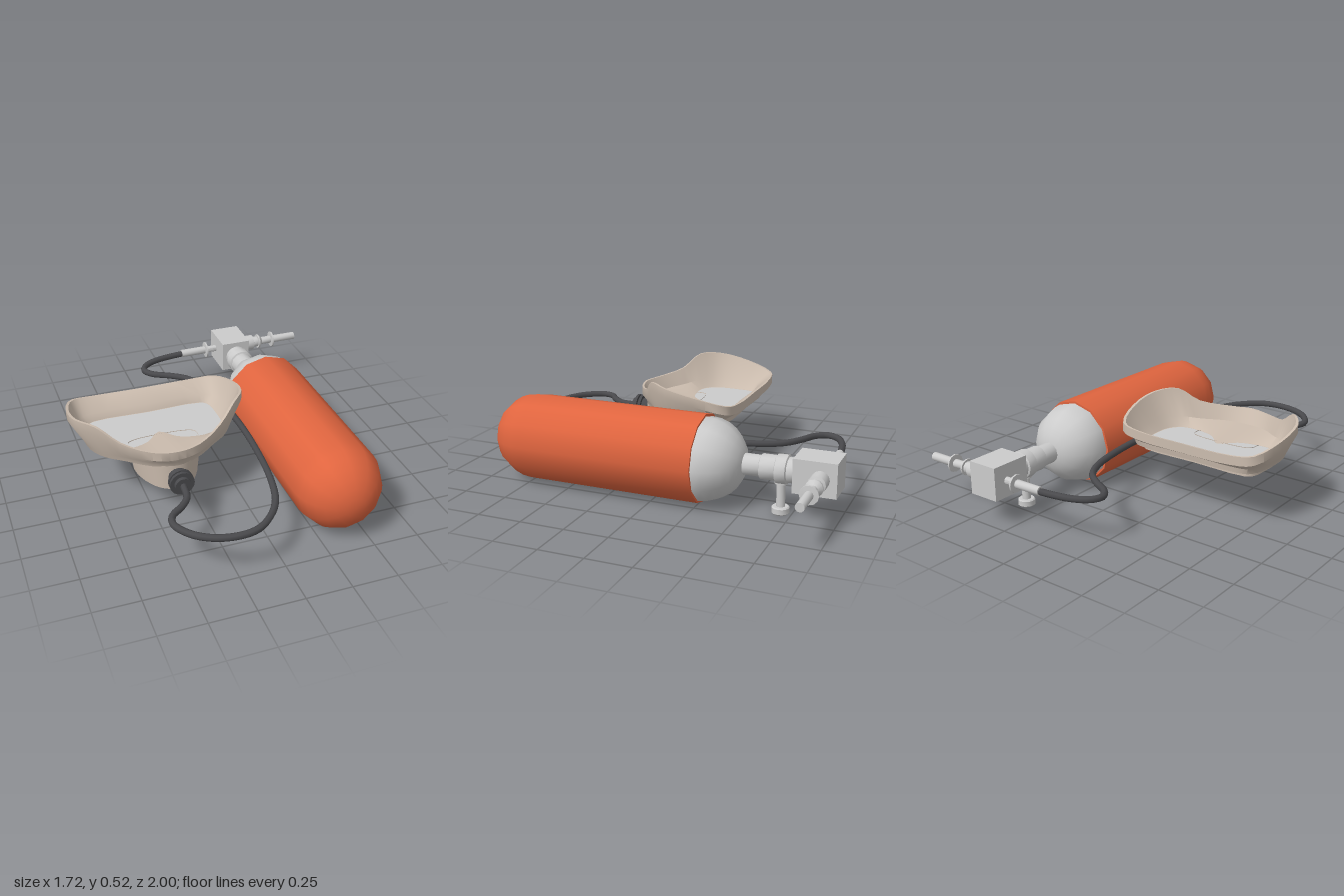
import * as THREE from 'three';
import { toCreasedNormals } from 'three/addons/utils/BufferGeometryUtils.js';

const material = (color) => new THREE.MeshStandardMaterial({ color, side: THREE.DoubleSide });
const metal = material(0xcccccc);
const red = material(0xe0653f);
const rubber = material(0x4a4a4d);
const skin = material(0xcbbcae);

const MASK_X = -0.375, AXIS_Y = 0.245, TANK_X = 0.388;

// Turned part: profile of [radius, position] in rising position along the given axis
function turned(name, mat, profile, axis, at, sides = 12) {
  let geo = new THREE.LatheGeometry(profile.map(([r, p]) => new THREE.Vector2(r, p)), sides);
  if (axis === 'z') geo.rotateX(Math.PI / 2);
  if (axis === 'x') geo.rotateZ(-Math.PI / 2);
  geo = toCreasedNormals(geo, 0.6);
  const mesh = new THREE.Mesh(geo, mat);
  mesh.name = name;
  mesh.position.set(...at);
  return mesh;
}

// Quarter-circle profile points from angle a to b
function arc(r, centre, a, b, steps = 7) {
  return Array.from({ length: steps + 1 }, (_, i) => {
    const t = a + (b - a) * i / steps;
    return [Math.max(r * Math.cos(t), 0), centre + r * Math.sin(t)];
  });
}

// Mirrors half an outline of [x, y, z] and samples a smooth closed ring through it
function ring(half) {
  const other = half.slice(1, -1).reverse().map(([x, y, z]) => [-x, y, z]);
  const points = [...half, ...other].map((p) => new THREE.Vector3(...p));
  const curve = new THREE.CatmullRomCurve3(points, true);
  const n = points.length * 3;
  return Array.from({ length: n }, (_, i) => curve.getPoint(i / n));
}

// Skin stretched over matching rings
function loft(name, mat, halves, crease) {
  const rings = halves.map(ring), n = rings[0].length;
  const index = [];
  for (let j = 0; j < rings.length - 1; j++) {
    for (let i = 0; i < n; i++) {
      const a = j * n + i, b = j * n + (i + 1) % n;
      index.push(a, b, a + n, b, b + n, a + n);
    }
  }
  const geo = new THREE.BufferGeometry().setFromPoints(rings.flat());
  geo.setIndex(index);
  geo.computeVertexNormals();
  const mesh = new THREE.Mesh(toCreasedNormals(geo, crease), mat);
  mesh.name = name;
  return mesh;
}

// Flat plate filling a ring outline, from height y0 to y1
function plate(name, mat, half, y0, y1) {
  const shape = new THREE.Shape(ring(half).map((p) => new THREE.Vector2(p.x, -p.z)));
  const geo = new THREE.ExtrudeGeometry(shape, { depth: y1 - y0, bevelEnabled: false });
  geo.rotateX(-Math.PI / 2).translate(0, y0, 0);
  const mesh = new THREE.Mesh(geo, mat);
  mesh.name = name;
  return mesh;
}

const level = (outline, y) => outline.map(([x, z]) => [x, y, z]);

function createMask() {
  const mask = new THREE.Group();
  mask.name = 'mask';
  mask.position.x = MASK_X;

  const lens = [[0, -0.18], [0.32, -0.18], [0.355, -0.15], [0.368, -0.05], [0.36, 0.08],
    [0.3, 0.15], [0.18, 0.155], [0.085, 0.125], [0, 0.045]];
  const inner = [[0, 0.35, -0.2], [0.32, 0.35, -0.2], [0.39, 0.35, -0.17], [0.415, 0.36, -0.05],
    [0.4, 0.37, 0.09], [0.33, 0.36, 0.18], [0.24, 0.345, 0.25], [0.13, 0.335, 0.33], [0, 0.33, 0.36]];
  const rim = [[0, 0.41, -0.29], [0.3, 0.415, -0.288], [0.42, 0.43, -0.26], [0.482, 0.475, -0.09],
    [0.472, 0.51, 0.09], [0.385, 0.515, 0.21], [0.28, 0.44, 0.285], [0.13, 0.41, 0.385], [0, 0.41, 0.42]];
  const lip = rim.map(([x, y, z]) => [x, y - 0.05, z]);
  const wall = [[0, -0.24], [0.31, -0.24], [0.385, -0.21], [0.42, -0.07], [0.41, 0.09],
    [0.35, 0.19], [0.255, 0.265], [0.13, 0.36], [0, 0.4]];
  const flange = wall.map(([x, z]) => [x * 0.97, z * 0.98]);
  const inside = rim.map(([x, y, z]) => [x * 0.97, y, z * 0.97]);

  // Face skirt: inside up to the rim, over it and down to the lens housing
  mask.add(loft('faceSkirt', skin, [
    level(lens, 0.31), inner, inside, rim, lip,
    level(wall, 0.335), level(flange, 0.305), level(lens, 0.3), level(lens, 0.27),
  ], 0.7));
  mask.add(plate('lens', metal, lens.map(([x, z]) => [x * 0.998, 0, z * 0.998]), 0.27, 0.308));

  // Breathing cup below the chin
  const cupTop = [[0, 0.07], [0.15, 0.08], [0.19, 0.1], [0.197, 0.15], [0.165, 0.27], [0.09, 0.37], [0, 0.4]];
  const cupBase = cupTop.map(([x, z]) => [x * 0.89, 0.02 + z * 0.95]);
  mask.add(loft('breathingCup', skin, [level(cupTop, 0.312), level(cupBase, 0.165)], 0.6));
  mask.add(plate('cupBase', skin, level(cupBase, 0), 0.165, 0.17));

  // Ribbed hose connector
  mask.add(turned('hoseConnector', rubber, [[0, 0.37], [0.05, 0.37], [0.05, 0.435], [0.068, 0.435],
    [0.068, 0.452], [0.05, 0.452], [0.05, 0.462], [0.068, 0.462], [0.068, 0.478], [0.045, 0.478],
    [0.045, 0.5], [0, 0.5]], 'z', [0, AXIS_Y, 0], 16));
  return mask;
}

function createTank() {
  const tank = new THREE.Group();
  tank.name = 'tank';
  const at = [TANK_X, AXIS_Y, 0];
  tank.add(turned('tankSleeve', red,
    [[0.22, -0.272], [0.242, -0.272], ...arc(0.242, 0.73, 0, Math.PI / 2)], 'z', at));
  tank.add(turned('tankShoulder', metal, arc(0.23, -0.27, -Math.PI / 2, 0), 'z', at));

  // Neck with stepped collars
  tank.add(turned('neck', metal, [[0.068, -0.78], [0.068, -0.73], [0.078, -0.725], [0.078, -0.67],
    [0.068, -0.665], [0.068, -0.585], [0.058, -0.58], [0.058, -0.48]], 'z', at));

  const block = new THREE.Mesh(new THREE.BoxGeometry(0.18, 0.185, 0.23), metal);
  block.name = 'valveBlock';
  block.position.set(0.386, 0.247, -0.885);
  tank.add(block);

  // Valve knob hanging below the neck
  tank.add(turned('valveKnob', metal, [[0, 0], [0.042, 0], [0.048, 0.006], [0.048, 0.034], [0.042, 0.04],
    [0.024, 0.04], [0.024, 0.165], [0.035, 0.165], [0.035, 0.24]], 'y', [TANK_X, 0, -0.69]));

  // Outlets on both sides of the block
  const side = [0, 0.247, -0.915];
  tank.add(turned('leftOutlet', metal, [[0.048, 0.47], [0.048, 0.555], [0.034, 0.56], [0.034, 0.59],
    [0.046, 0.59], [0.046, 0.6], [0.024, 0.62], [0.024, 0.684], [0.05, 0.686], [0.05, 0.696],
    [0.024, 0.698], [0.024, 0.855], [0, 0.855]], 'x', side));
  tank.add(turned('rightOutlet', metal, [[0, 0.06], [0.024, 0.06], [0.024, 0.22], [0.05, 0.222],
    [0.05, 0.232], [0.02, 0.234], [0.02, 0.3]], 'x', side));
  return tank;
}

function createHose() {
  const path = [[0.08, -0.915], [-0.02, -0.905], [-0.13, -0.88], [-0.205, -0.835], [-0.232, -0.775],
    [-0.195, -0.715], [-0.1, -0.66], [-0.01, -0.59], [0.05, -0.48], [0.09, -0.3], [0.115, 0],
    [0.108, 0.3], [0.075, 0.6], [0.025, 0.78], [-0.05, 0.89], [-0.14, 0.96], [-0.24, 0.978],
    [-0.36, 0.955], [-0.46, 0.89], [-0.52, 0.79], [-0.505, 0.72], [-0.44, 0.665], [-0.39, 0.6],
    [MASK_X, 0.49]];
  const curve = new THREE.CatmullRomCurve3(path.map(([x, z]) => new THREE.Vector3(x, AXIS_Y, z)));
  const hose = new THREE.Mesh(new THREE.TubeGeometry(curve, 110, 0.019, 8), rubber);
  hose.name = 'hose';
  return hose;
}

export function createModel() {
  const model = new THREE.Group();
  model.name = 'breathingApparatus';
  model.add(createMask(), createTank(), createHose());
  return model;
}
